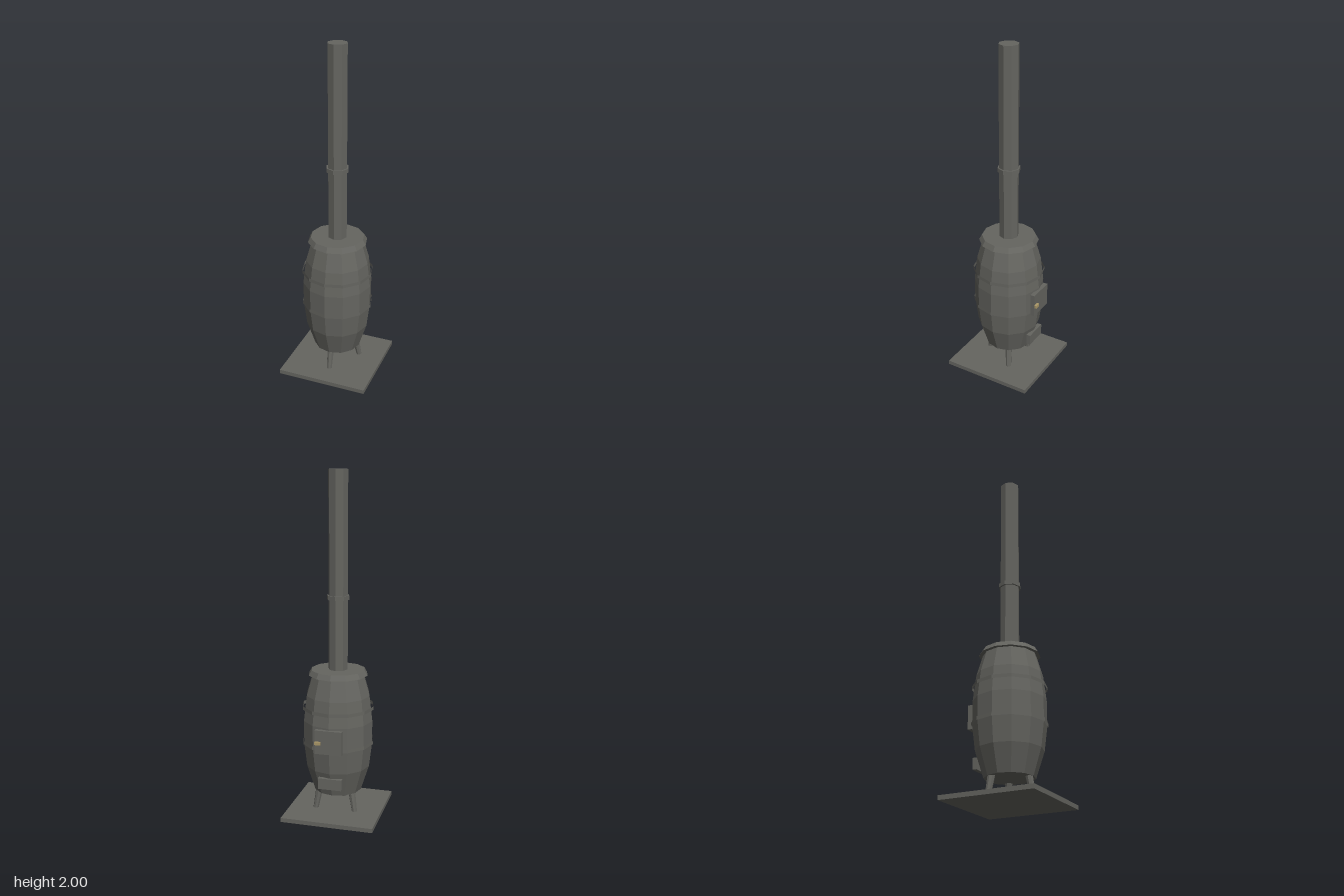
import * as THREE from 'three';

const iron = new THREE.MeshStandardMaterial({ color: 0x656560, flatShading: true });
iron.name = 'iron grey';
const ironSheet = iron.clone();
ironSheet.side = THREE.DoubleSide; // same grey, for the open hoops
const brass = new THREE.MeshStandardMaterial({ color: 0xab9868, flatShading: true });
brass.name = 'brass';

export function createModel() {
  const stove = new THREE.Group();
  stove.name = 'barrelStove';

  const add = (name, geometry, x, y, z, material = iron) => {
    const mesh = new THREE.Mesh(geometry, material);
    mesh.name = name;
    mesh.position.set(x, y, z);
    stove.add(mesh);
    return mesh;
  };
  const box = (name, w, y0, y1, z0, z1, x = 0, material = iron) =>
    add(name, new THREE.BoxGeometry(w, y1 - y0, z1 - z0), x, (y0 + y1) / 2, (z0 + z1) / 2, material);
  const drum = (name, rTop, rBottom, y0, y1, sides, open = false) =>
    add(name, new THREE.CylinderGeometry(rTop, rBottom, y1 - y0, sides, 1, open),
      0, (y0 + y1) / 2, 0, open ? ironSheet : iron);

  // Floor plate
  box('floorPlate', 0.545, 0, 0.025, -0.2725, 0.2725);

  // Three splayed legs
  for (let i = 0; i < 3; i++) {
    const a = (i * Math.PI * 2) / 3;
    const dir = new THREE.Vector3(Math.sin(a), 0, Math.cos(a));
    const foot = dir.clone().multiplyScalar(0.137).setY(0.022);
    const top = dir.clone().multiplyScalar(0.11).setY(0.165);
    const axis = top.clone().sub(foot);
    const mid = foot.clone().add(top).multiplyScalar(0.5);
    const leg = add('leg' + (i + 1), new THREE.CylinderGeometry(0.022, 0.016, axis.length(), 8), mid.x, mid.y, mid.z);
    leg.quaternion.setFromUnitVectors(new THREE.Vector3(0, 1, 0), axis.normalize());
  }

  // Twelve-sided barrel, closed at both ends
  const profile = [
    [0, 0.14], [0.14, 0.14], [0.188, 0.29], [0.205, 0.43], [0.206, 0.57], [0.188, 0.72], [0.152, 0.845], [0, 0.845],
  ].map(([r, y]) => new THREE.Vector2(r, y));
  add('barrel', new THREE.LatheGeometry(profile, 12), 0, 0, 0);

  // Hoops and flared lid
  drum('lowerHoop', 0.211, 0.211, 0.428, 0.448, 12, true);
  drum('upperHoop', 0.211, 0.211, 0.638, 0.658, 12, true);
  drum('lid', 0.158, 0.175, 0.84, 0.87, 12);

  // Chimney pipe with its joint collar
  drum('chimney', 0.057, 0.057, 0.86, 2, 8);
  drum('chimneyCollar', 0.066, 0.066, 1.278, 1.302, 8);

  // Fire door, latch and ash door on the back
  box('fireDoor', 0.158, 0.42, 0.56, -0.22, -0.195);
  box('doorLatch', 0.035, 0.477, 0.495, -0.233, -0.219, 0.061, brass);
  box('ashDoor', 0.14, 0.195, 0.26, -0.19, -0.165);

  return stove;
}
